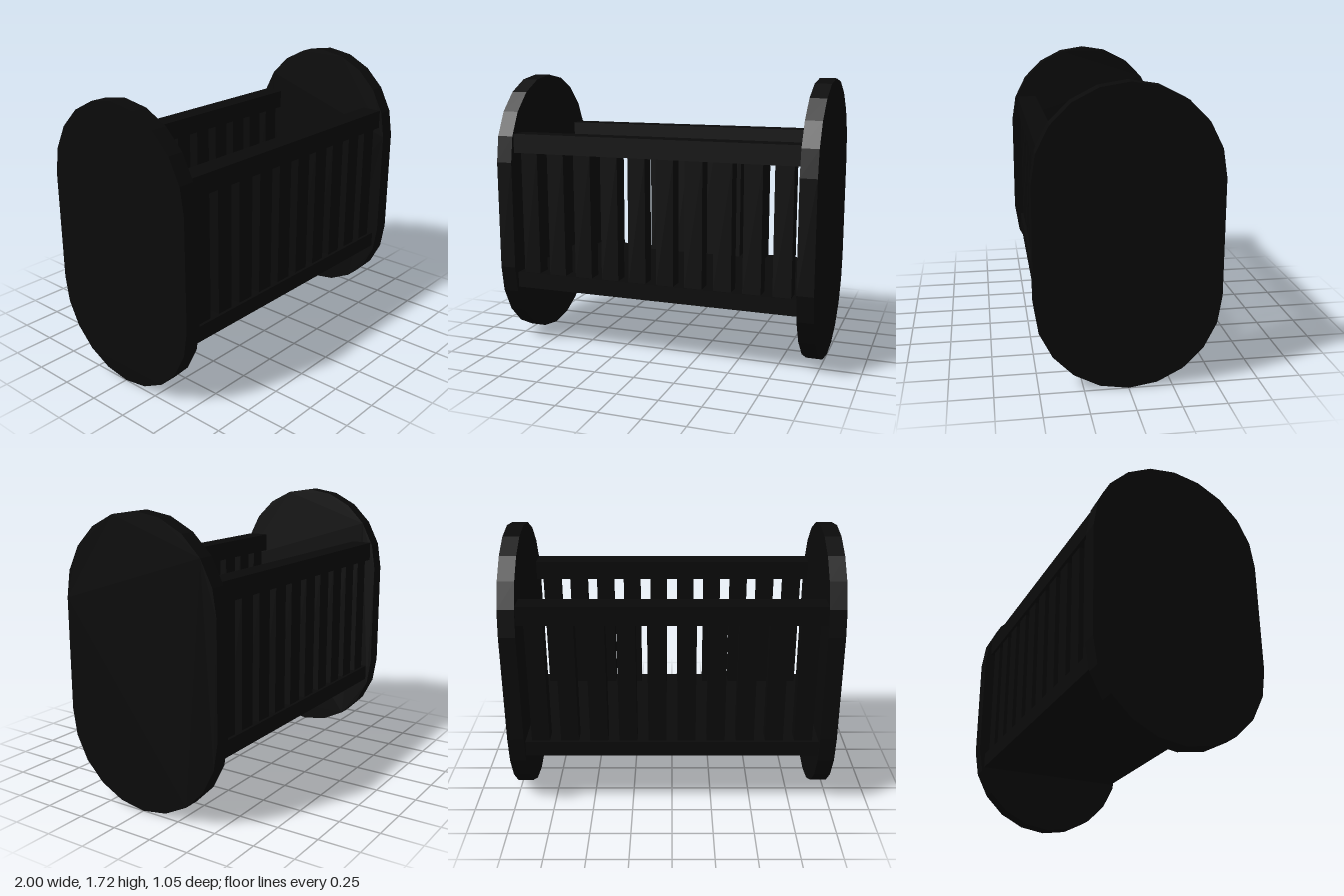
import * as THREE from 'three';

export function createModel() {
  const crib = new THREE.Group();
  crib.name = 'crib';
  const paint = new THREE.MeshStandardMaterial({ color: 0x0a0a0a, flatShading: true });

  function add(name, geometry, x, y, z, parent = crib) {
    const mesh = new THREE.Mesh(geometry, paint);
    mesh.name = name;
    mesh.position.set(x, y, z);
    parent.add(mesh);
    return mesh;
  }

  // End panels: a 20-sided disc pulled apart into a tall faceted oval
  const radius = 0.523, lowY = 0.523, highY = 1.192, thickness = 0.1;
  const outline = [];
  for (let i = 0; i <= 10; i++) {
    const a = (i * Math.PI) / 10;
    outline.push(new THREE.Vector2(radius * Math.cos(a), highY + radius * Math.sin(a)));
  }
  for (let i = 10; i <= 20; i++) {
    const a = (i * Math.PI) / 10;
    outline.push(new THREE.Vector2(radius * Math.cos(a), lowY + radius * Math.sin(a)));
  }
  const panel = new THREE.ExtrudeGeometry(new THREE.Shape(outline), { depth: thickness, bevelEnabled: false });
  panel.rotateY(Math.PI / 2);
  add('leftEndPanel', panel, 0.9, 0, 0);
  add('rightEndPanel', panel, -1, 0, 0);

  // Solid floor between the panels
  add('floor', new THREE.BoxGeometry(1.8, 0.097, 0.97), 0, 0.4375, 0);

  // Sides: a top rail over ten evenly spaced slats, set slightly inside the rail
  const rail = new THREE.BoxGeometry(1.8, 0.118, 0.13);
  const slat = new THREE.BoxGeometry(0.11, 0.765, 0.095);
  for (const [name, side] of [['frontSide', 1], ['backSide', -1]]) {
    const group = new THREE.Group();
    group.name = name;
    crib.add(group);
    add('topRail', rail, 0, 1.31, side * 0.42, group);
    for (let i = 0; i < 10; i++) {
      add('slat', slat, (i - 4.5) * 0.179, 0.868, side * 0.42, group);
    }
  }
  return crib;
}
